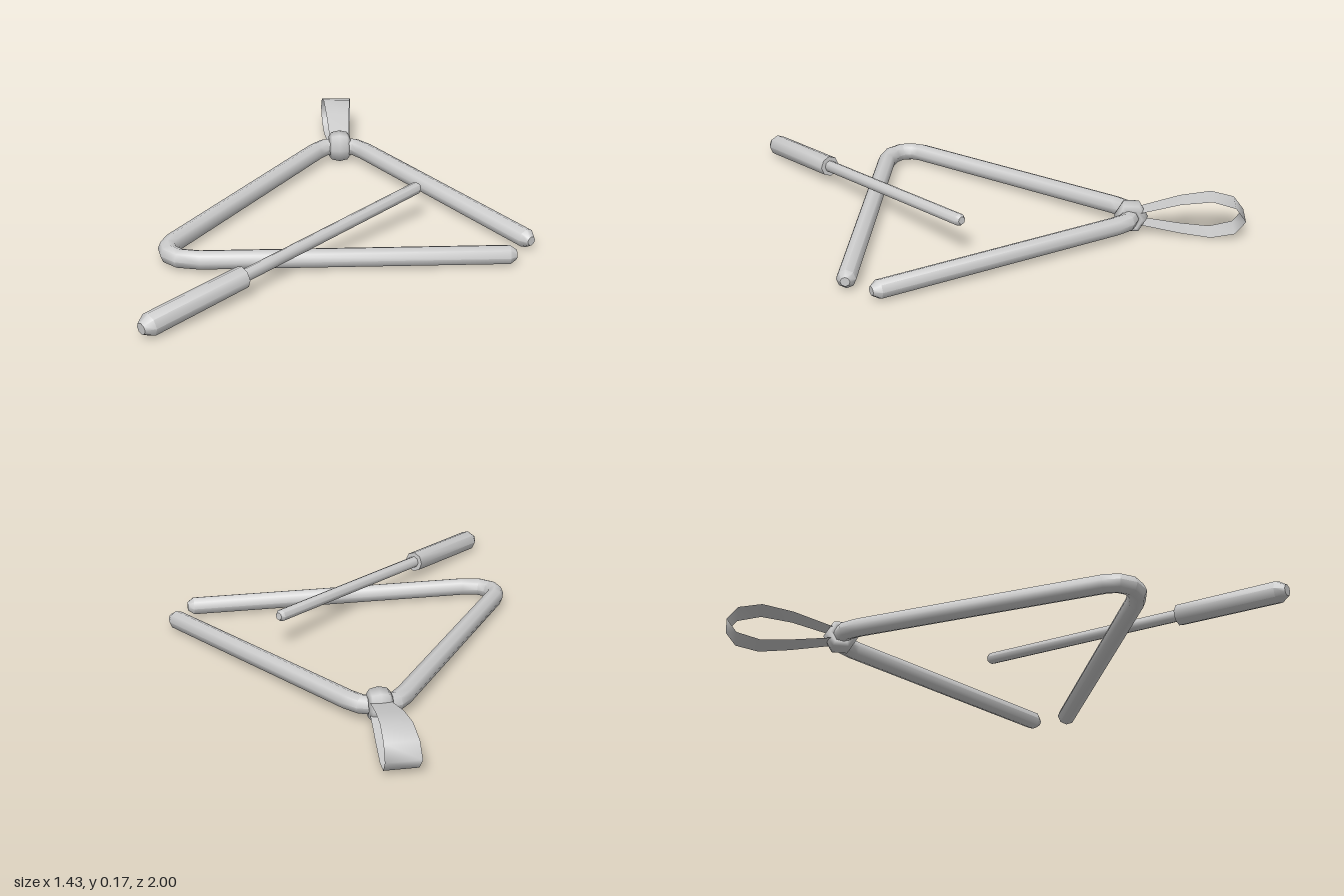
import * as THREE from 'three';
import { toCreasedNormals } from 'three/addons/utils/BufferGeometryUtils.js';

const material = new THREE.MeshStandardMaterial({ color: 0xcccccc });
const strapMaterial = new THREE.MeshStandardMaterial({ color: 0xcccccc, side: THREE.DoubleSide });
const SIDES = 8;

function add(parent, name, geometry, mat = material) {
  const mesh = new THREE.Mesh(geometry, mat);
  mesh.name = name;
  parent.add(mesh);
  return mesh;
}

// Round bar through centre points [x, y, z, radius], closed by flat caps
function sweep(stations) {
  const pts = stations.map(s => new THREE.Vector3(s[0], s[1], s[2]));
  const pos = [], idx = [];
  pts.forEach((p, i) => {
    const a = pts[Math.max(i - 1, 0)], b = pts[Math.min(i + 1, pts.length - 1)];
    const dir = b.clone().sub(a).normalize();
    const side = new THREE.Vector3().crossVectors(dir, new THREE.Vector3(0, 1, 0)).normalize();
    const up = new THREE.Vector3().crossVectors(side, dir);
    for (let k = 0; k < SIDES; k++) {
      const t = k / SIDES * Math.PI * 2, r = stations[i][3];
      const v = p.clone().addScaledVector(side, Math.cos(t) * r).addScaledVector(up, Math.sin(t) * r);
      pos.push(v.x, v.y, v.z);
    }
  });
  const last = (pts.length - 1) * SIDES;
  for (let i = 0; i < pts.length - 1; i++) {
    for (let k = 0; k < SIDES; k++) {
      const a = i * SIDES + k, b = i * SIDES + (k + 1) % SIDES;
      idx.push(a, a + SIDES, b, b, a + SIDES, b + SIDES);
    }
  }
  for (let k = 1; k < SIDES - 1; k++) {
    idx.push(0, k, k + 1, last, last + k + 1, last + k);
  }
  const geo = new THREE.BufferGeometry();
  geo.setAttribute('position', new THREE.Float32BufferAttribute(pos, 3));
  geo.setIndex(idx);
  return toCreasedNormals(geo, 0.85);
}

// Ribbon loop: a zero-thickness strip that widens towards the far end
function strapLoop() {
  const path = [[-0.58, 0.085], [-0.75, 0.135], [-0.87, 0.153], [-0.96, 0.13], [-1, 0.077],
    [-0.96, 0.025], [-0.87, 0.004], [-0.75, 0.017], [-0.58, 0.045]];
  const pos = [], idx = [];
  path.forEach(([z, y], i) => {
    const half = 0.04 + (-0.6 - z) * 0.063;
    pos.push(0.02 - half, y, z, 0.02 + half, y, z);
    if (i) {
      const a = i * 2 - 2;
      idx.push(a, a + 1, a + 2, a + 1, a + 3, a + 2);
    }
  });
  const geo = new THREE.BufferGeometry();
  geo.setAttribute('position', new THREE.Float32BufferAttribute(pos, 3));
  geo.setIndex(idx);
  geo.computeVertexNormals();
  return geo;
}

export function createModel() {
  const model = new THREE.Group();
  model.name = 'triangleAndBeater';

  // Bent bar, open at one corner, rising slightly towards the back
  const R = 0.037;
  const outline = [[0.7, 0.362, 0.018], [0.684, 0.338, R], [0.125, -0.5, R], [0.085, -0.545, R],
    [0.02, -0.567, R], [-0.045, -0.545, R], [-0.085, -0.5, R], [-0.637, 0.325, R], [-0.652, 0.37, R],
    [-0.643, 0.415, R], [-0.605, 0.45, R], [-0.53, 0.466, R], [0.605, 0.466, R], [0.63, 0.466, 0.018]];
  add(model, 'triangleBar', sweep(outline.map(([x, z, r]) => [x, 0.052 - z * 0.021, z, r])));

  // Strap and the rounded six-sided knot around the apex
  const strap = new THREE.Group();
  strap.name = 'strap';
  add(strap, 'strapLoop', strapLoop(), strapMaterial);
  const ring = new THREE.TorusGeometry(0.042, 0.024, 8, 6).rotateY(Math.PI / 2).scale(1.9, 1, 1);
  add(strap, 'strapKnot', ring).position.set(0.02, 0.064, -0.562);
  model.add(strap);

  // Beater: thin rod with a thicker grip, leaning over the front bar
  const beater = new THREE.Group();
  beater.name = 'beater';
  const tip = new THREE.Vector3(0.3, 0.147, 0.074), end = new THREE.Vector3(-0.703, 0.046, 0.983);
  const along = list => sweep(list.map(([t, r]) => [...tip.clone().lerp(end, t).toArray(), r]));
  add(beater, 'beaterRod', along([[0, 0.015], [0.01, 0.024], [0.7, 0.024]]));
  add(beater, 'beaterGrip', along([[0.668, 0.042], [0.975, 0.043], [1, 0.022]]));
  model.add(beater);

  return model;
}
